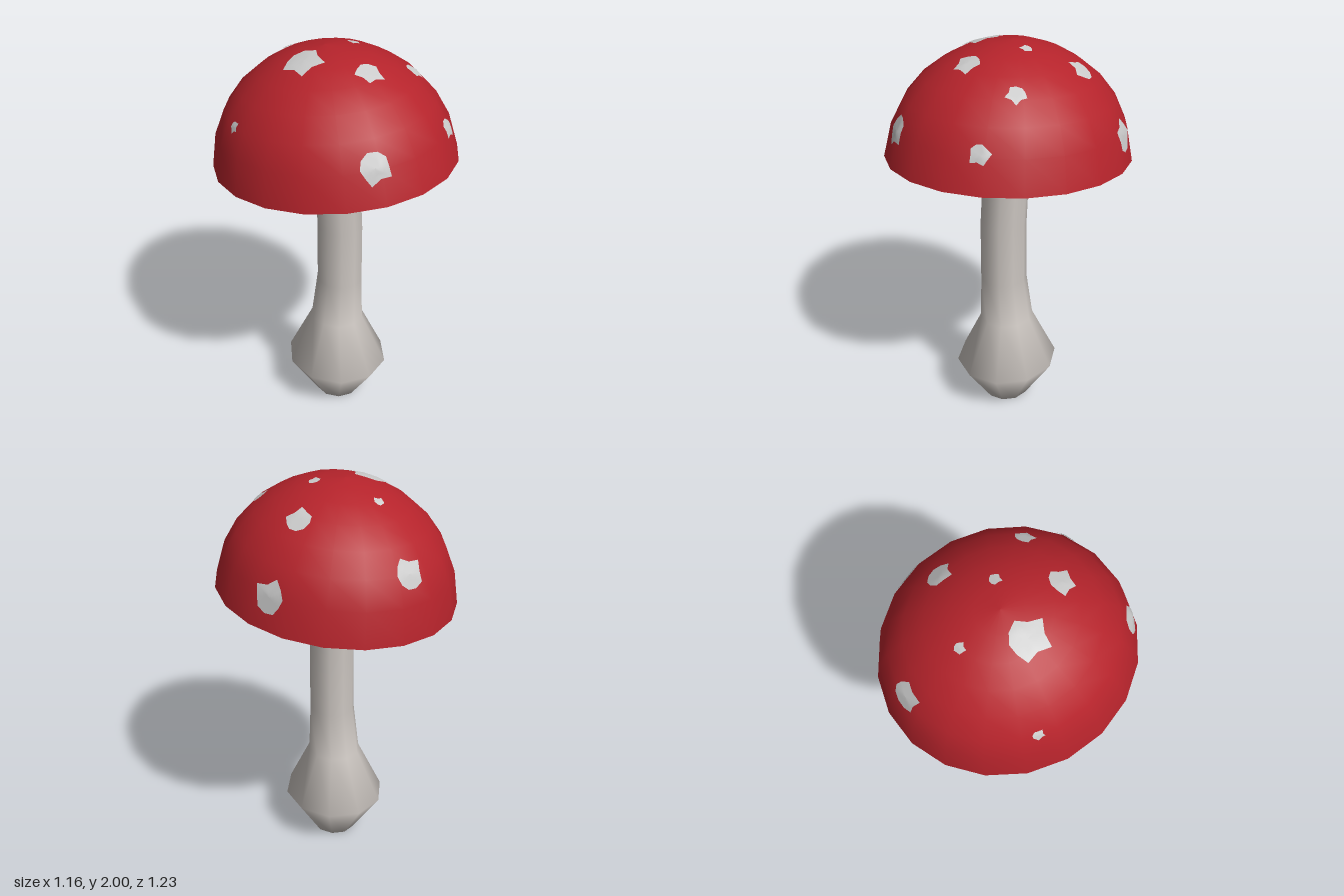
import * as THREE from 'three';

const mat = (color, side = THREE.FrontSide) => new THREE.MeshStandardMaterial({ color, side });
const profile = (pts) => pts.map(([r, y]) => new THREE.Vector2(r, y));

function part(name, geometry, material) {
  const mesh = new THREE.Mesh(geometry, material);
  mesh.name = name;
  return mesh;
}

// Bulbous stem: ten-sided lathe whose rings slide along z to bend it
function makeStem() {
  const g = new THREE.LatheGeometry(profile([
    [0, 0], [0.121, 0], [0.276, 0.23], [0.142, 0.5], [0.122, 0.75],
    [0.121, 1.07], [0.12, 1.22], [0.119, 1.45], [0.119, 1.515], [0, 1.515],
  ]), 10);
  const bend = [[0, 0.02], [0.5, 0.02], [0.75, 0.04], [1.07, 0.04], [1.22, 0.03], [1.45, 0.006], [1.515, -0.003]];
  const p = g.attributes.position;
  for (let i = 0; i < p.count; i++) {
    const y = p.getY(i);
    const k = Math.max(1, bend.findIndex(([by]) => by >= y - 1e-4));
    const [y0, z0] = bend[k - 1], [y1, z1] = bend[k];
    p.setX(i, p.getX(i) * 0.935);
    p.setZ(i, p.getZ(i) + THREE.MathUtils.mapLinear(y, y0, y1, z0, z1));
  }
  return part('stem', g, mat(0xcbc5c0));
}

// Tilted hollow cap: a thin dome seen from both sides
function makeCap() {
  const dome = part('cap', new THREE.LatheGeometry(profile([
    [0.619, -0.005], [0.582, 0.16], [0.522, 0.28], [0.438, 0.378],
    [0.338, 0.452], [0.23, 0.507], [0.115, 0.541], [0, 0.551],
  ]), 20), mat(0xb5232b, THREE.DoubleSide));
  dome.scale.x = 0.94;
  dome.rotation.set(-0.082, 0, 0.043);
  dome.position.y = 1.45;
  dome.updateMatrixWorld(true);
  return dome;
}

// Ragged patch laid on the dome at (x, z): rings of points dropped onto the surface
function makeSpot(dome, x, z, radius, seed) {
  const ray = new THREE.Raycaster(new THREE.Vector3(x, 3, z), new THREE.Vector3(0, -1, 0));
  const hit = ray.intersectObject(dome)[0];
  const n = hit.face.normal.clone().transformDirection(dome.matrixWorld);
  const u = new THREE.Vector3(1, 0, 0).addScaledVector(n, -n.x).normalize();
  const v = new THREE.Vector3().crossVectors(n, u);
  const down = n.clone().negate();
  const SIDES = 10, RINGS = 4, pos = [], index = [];
  for (let r = 0; r <= RINGS; r++) {
    for (let s = 0; s < SIDES; s++) {
      const a = (s / SIDES) * Math.PI * 2 + seed * 1.3;
      const corner = s % 2 ? 0.8 : 1;
      const d = radius * (r / RINGS) * corner * (1 + 0.13 * Math.sin(seed * 5.1 + s * 2.3));
      const q = hit.point.clone().addScaledVector(u, d * Math.cos(a)).addScaledVector(v, d * Math.sin(a));
      ray.set(q.clone().addScaledVector(n, 0.3), down);
      const on = ray.intersectObject(dome)[0];
      pos.push(...(on ? on.point : q).clone().addScaledVector(n, 0.005).toArray());
      if (r < RINGS) {
        const a0 = r * SIDES + s, b0 = r * SIDES + (s + 1) % SIDES;
        index.push(a0, a0 + SIDES, b0 + SIDES);
        if (r > 0) index.push(a0, b0 + SIDES, b0);
      }
    }
  }
  const g = new THREE.BufferGeometry();
  g.setAttribute('position', new THREE.Float32BufferAttribute(pos, 3));
  g.setIndex(index);
  g.computeVertexNormals();
  return part('spot', g, mat(0xcccccc));
}

export function createModel() {
  const model = new THREE.Group();
  model.name = 'mushroom';
  const dome = makeCap();
  model.add(makeStem(), dome);

  // Spots: x, z, radius
  const spots = [
    [-0.07, -0.53, 0.078], [-0.075, -0.26, 0.028], [-0.49, -0.11, 0.03],
    [-0.18, 0, 0.094], [0.11, 0, 0.03], [0.285, -0.18, 0.066],
    [0.48, -0.27, 0.083], [-0.01, 0.25, 0.066], [0.28, 0.23, 0.048],
    [0.29, 0.46, 0.05], [-0.2, 0.52, 0.077],
  ];
  const group = new THREE.Group();
  group.name = 'spots';
  spots.forEach(([x, z, r], i) => group.add(makeSpot(dome, x, z, r, i + 1)));
  model.add(group);
  return model;
}
